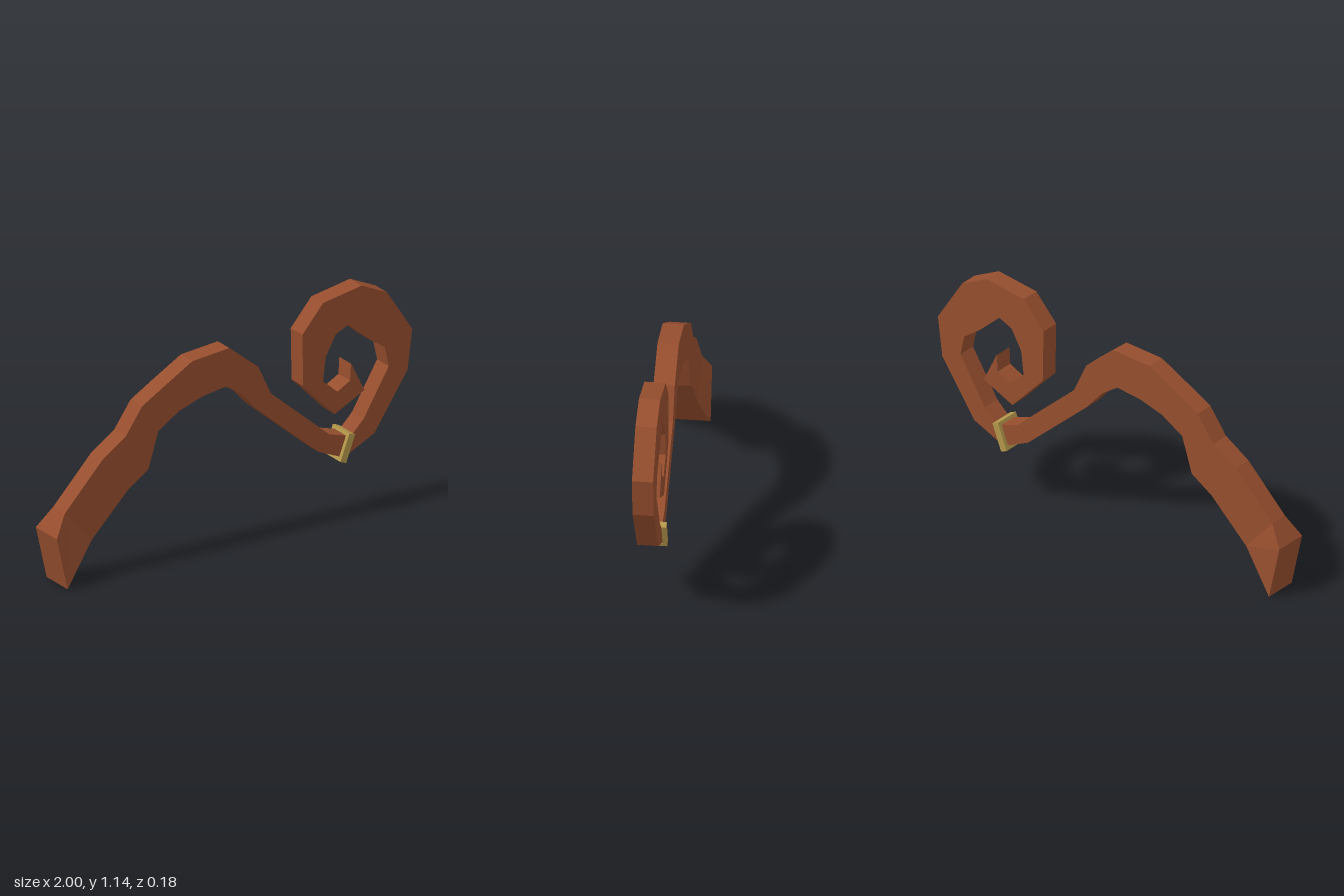
import * as THREE from 'three';

const leather = new THREE.MeshStandardMaterial({ color: 0x964e2e });
leather.name = 'brown leather';
const brass = new THREE.MeshStandardMaterial({ color: 0xb2964a });
brass.name = 'brass';

// Strap stations: upper edge x, y, then lower edge x, y
const STATIONS = [
  [-1, 0.27, -0.94, 0.005],
  [-0.93, 0.37, -0.78, 0.205],
  [-0.72, 0.595, -0.58, 0.41],
  [-0.59, 0.685, -0.465, 0.49],
  [-0.5, 0.815, -0.41, 0.67],
  [-0.375, 0.89, -0.295, 0.745],
  [-0.22, 0.98, -0.165, 0.79],
  [-0.015, 1.0, -0.035, 0.81],
  [0.145, 0.87, 0.05, 0.755],
  [0.215, 0.72, 0.14, 0.655],
  [0.54, 0.44, 0.48, 0.365],
  [0.66, 0.405, 0.62, 0.305],
  [0.73, 0.475, 0.79, 0.39],
  [0.87, 0.71, 0.975, 0.67],
  [0.848, 0.81, 1.0, 0.87],
  [0.76, 0.87, 0.86, 1.085],
  [0.645, 0.97, 0.72, 1.15],
  [0.575, 0.935, 0.505, 1.11],
  [0.52, 0.835, 0.39, 0.975],
  [0.505, 0.715, 0.395, 0.715],
  [0.585, 0.645, 0.57, 0.535],
  [0.655, 0.685, 0.735, 0.62],
  [0.66, 0.77, 0.662, 0.768],
];

// Loft of rectangular sections, flared at the first one
function strapGeometry() {
  const rings = STATIONS.map(([ux, uy, lx, ly], i) => {
    const w = i === 0 ? 0.09 : 0.05;
    return [[lx, ly, w], [ux, uy, w], [ux, uy, -w], [lx, ly, -w]];
  });
  const positions = [];
  const quad = (a, b, c, d) => positions.push(...a, ...b, ...c, ...a, ...c, ...d);
  for (let i = 0; i < rings.length - 1; i++) {
    const cur = rings[i], next = rings[i + 1];
    for (let k = 0; k < 4; k++) {
      const n = (k + 1) % 4;
      quad(cur[k], next[k], next[n], cur[n]);
    }
  }
  quad(...rings[0]);
  quad(...rings[rings.length - 1].slice().reverse());
  const geo = new THREE.BufferGeometry();
  geo.setAttribute('position', new THREE.Float32BufferAttribute(positions, 3));
  geo.computeVertexNormals(); // unshared corners give flat facets
  return geo;
}

function rectangle(path, w, h) {
  path.moveTo(-w / 2, -h / 2);
  path.lineTo(w / 2, -h / 2);
  path.lineTo(w / 2, h / 2);
  path.lineTo(-w / 2, h / 2);
  path.closePath();
  return path;
}

export function createModel() {
  const model = new THREE.Group();
  model.name = 'curledStrap';

  const strap = new THREE.Mesh(strapGeometry(), leather);
  strap.name = 'strap';
  model.add(strap);

  // Rectangular ring around the strap
  const frame = rectangle(new THREE.Shape(), 0.142, 0.142);
  frame.holes.push(rectangle(new THREE.Path(), 0.1, 0.108));
  const ringGeo = new THREE.ExtrudeGeometry(frame, { depth: 0.034, bevelEnabled: false });
  ringGeo.translate(0, 0, -0.017);
  ringGeo.rotateY(Math.PI / 2);
  ringGeo.rotateZ(-0.36);
  const ring = new THREE.Mesh(ringGeo, brass);
  ring.name = 'buckleRing';
  ring.position.set(0.629, 0.357, 0);
  model.add(ring);

  return model;
}
